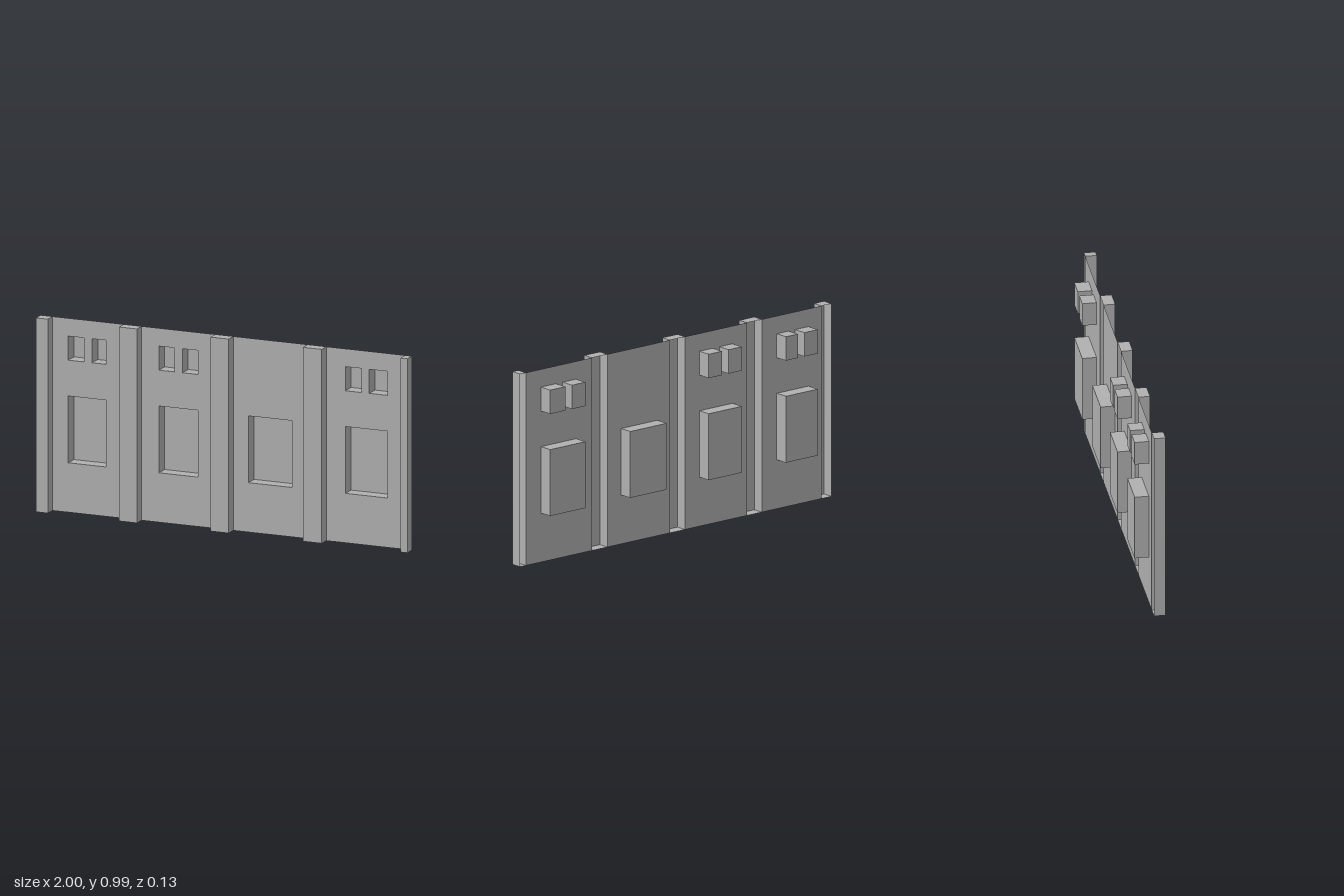
import * as THREE from 'three';

const HEIGHT = 0.985;
const SHEET_Z = 0.007;   // plane of the thin wall sheet
const FRONT_Z = 0.065;   // front of the pilasters
const BACK_Z = -0.064;   // back of the window recesses

const concrete = new THREE.MeshStandardMaterial({ color: 0xb0b0b0, side: THREE.DoubleSide });
concrete.name = 'concrete grey';

// Box given by its limits, with one z face left open (4 = front, 5 = back)
function openBox(name, x0, x1, y0, y1, z0, z1, openFace) {
  const geo = new THREE.BoxGeometry(x1 - x0, y1 - y0, z1 - z0);
  const index = Array.from(geo.index.array);
  index.splice(openFace * 6, 6);
  geo.setIndex(index);
  geo.clearGroups();
  geo.translate((x0 + x1) / 2, (y0 + y1) / 2, (z0 + z1) / 2);
  const mesh = new THREE.Mesh(geo, concrete);
  mesh.name = name;
  return mesh;
}

function rectangle(path, x0, x1, y0, y1) {
  path.moveTo(x0, y0);
  path.lineTo(x1, y0);
  path.lineTo(x1, y1);
  path.lineTo(x0, y1);
  path.closePath();
  return path;
}

export function createModel() {
  const wall = new THREE.Group();
  wall.name = 'panelWall';

  // Pilasters: hollow channels, open at the back
  const pilasters = [[-1, -0.935], [-0.553, -0.456], [-0.06, 0.038], [0.438, 0.539], [0.962, 1]];
  pilasters.forEach(([x0, x1], i) => {
    wall.add(openBox(`pilaster${i + 1}`, x0, x1, 0, HEIGHT, SHEET_Z, FRONT_Z, 5));
  });

  // Each bay: one large window and, where present, a pair of small ones above
  const bays = [
    { large: [-0.852, -0.648], small: [[-0.852, -0.766], [-0.724, -0.648]] },
    { large: [-0.364, -0.152], small: [[-0.364, -0.279], [-0.237, -0.152]] },
    { large: [0.118, 0.352], small: [] },
    { large: [0.64, 0.866], small: [[0.64, 0.726], [0.769, 0.866]] },
  ];
  bays.forEach(({ large, small }, i) => {
    const bay = new THREE.Group();
    bay.name = `bay${i + 1}`;
    const windows = [
      [...large, 0.251, 0.59],
      ...small.map((s) => [...s, 0.772, 0.894]),
    ];

    // Thin sheet between two pilasters, pierced by the windows
    const shape = rectangle(new THREE.Shape(), pilasters[i][1], pilasters[i + 1][0], 0, HEIGHT);
    windows.forEach((w) => shape.holes.push(rectangle(new THREE.Path(), ...w)));
    const sheet = new THREE.Mesh(new THREE.ShapeGeometry(shape), concrete);
    sheet.position.z = SHEET_Z;
    sheet.name = 'wallSheet';
    bay.add(sheet);

    // Recesses behind the windows, open at the front
    windows.forEach((w, k) => {
      const name = k === 0 ? 'largeWindowRecess' : `smallWindowRecess${k}`;
      bay.add(openBox(name, ...w, BACK_Z, SHEET_Z, 4));
    });
    wall.add(bay);
  });

  return wall;
}
